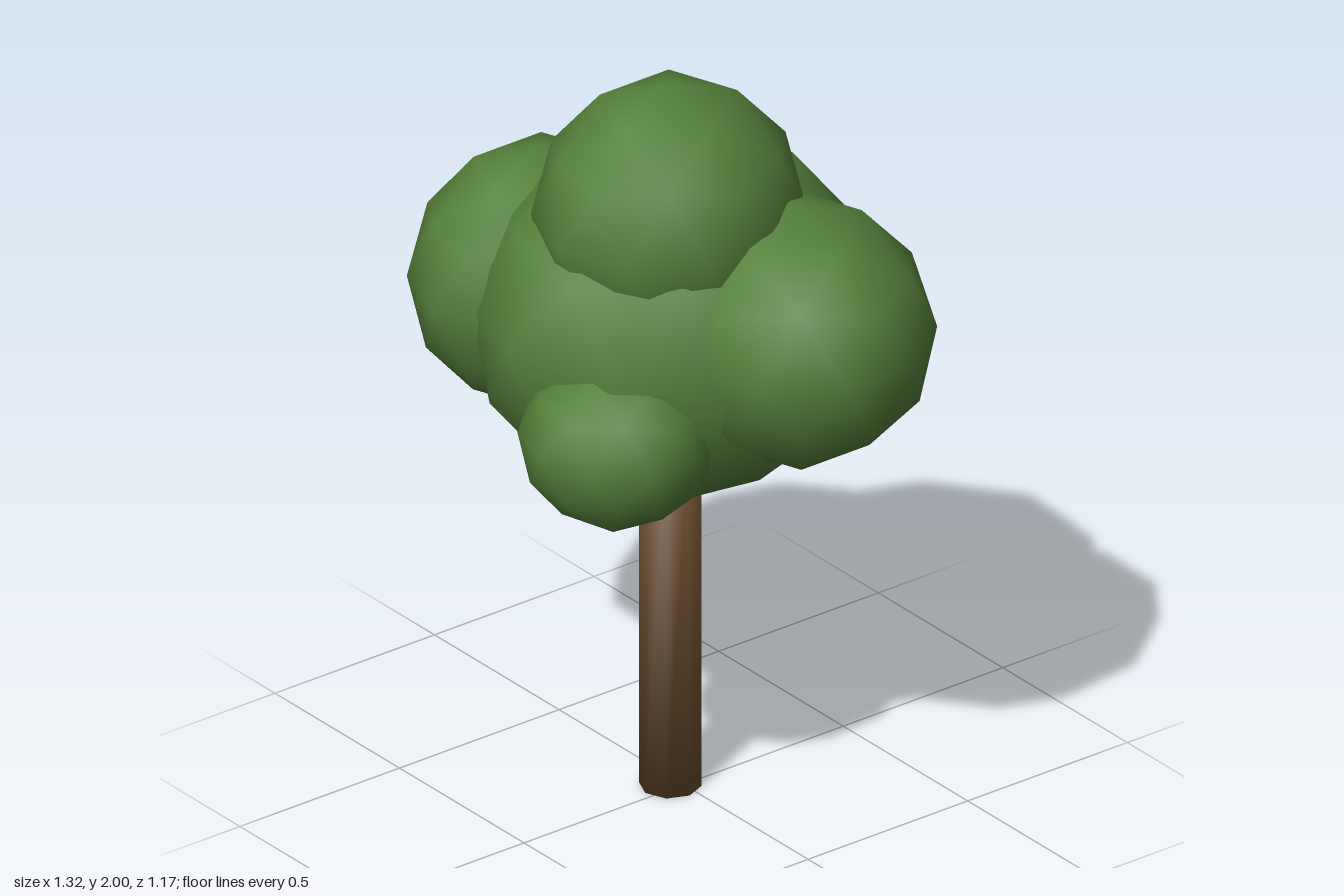
import * as THREE from 'three';
import { mergeVertices } from 'three/addons/utils/BufferGeometryUtils.js';

const leafGreen = new THREE.MeshStandardMaterial({ color: 0x54803a });
leafGreen.name = 'leafGreen';
const barkBrown = new THREE.MeshStandardMaterial({ color: 0x70502f });
barkBrown.name = 'barkBrown';

// Low-poly smooth ball with a vertex at the top and bottom
function leafGeometry() {
  const geometry = new THREE.IcosahedronGeometry(1, 1);
  geometry.rotateZ(-Math.atan(2 / (1 + Math.sqrt(5))));
  return geometry;
}

// Post whose shading rolls softly over its end rims
function trunkGeometry(radius, height, sides) {
  let geometry = new THREE.CylinderGeometry(radius, radius, height, sides, 1);
  geometry.deleteAttribute('normal');
  geometry.deleteAttribute('uv');
  geometry = mergeVertices(geometry);
  geometry.computeVertexNormals();
  const p = geometry.attributes.position;
  const n = new THREE.Vector3();
  for (let i = 0; i < p.count; i++) {
    n.set(p.getX(i) / radius, Math.sign(p.getY(i)) * 0.8, p.getZ(i) / radius).normalize();
    geometry.attributes.normal.setXYZ(i, n.x, n.y, n.z);
  }
  return geometry;
}

export function createModel() {
  const tree = new THREE.Group();
  tree.name = 'tree';

  // Trunk, its top buried in the crown
  const height = 1.0;
  const trunk = new THREE.Mesh(trunkGeometry(0.078, height, 8), barkBrown);
  trunk.name = 'trunk';
  trunk.position.set(-0.023, height / 2, 0.024);
  tree.add(trunk);

  // Crown: overlapping leaf balls (name, centre, radii, small tilt)
  const crown = new THREE.Group();
  crown.name = 'crown';
  const balls = [
    ['mainFoliage', [-0.035, 1.313, 0.005], [0.485, 0.485, 0.525], [-0.1, 0, -0.03]],
    ['topFoliage', [0.037, 1.65, 0.077], [0.322, 0.35, 0.35], [0, 0, 0]],
    ['leftFoliage', [0.302, 1.365, -0.11], [0.37, 0.347, 0.345], [0, 0, 0.03]],
    ['rightFoliage', [-0.375, 1.333, 0.158], [0.305, 0.35, 0.342], [0, 0, 0]],
    ['frontFoliage', [0.165, 1.147, 0.335], [0.247, 0.23, 0.25], [-0.1, 0, 0]],
    ['backFoliage', [-0.145, 1.217, -0.283], [0.312, 0.305, 0.305], [0, 0, 0]],
  ];
  const leaf = leafGeometry();
  for (const [name, centre, radii, tilt] of balls) {
    const ball = new THREE.Mesh(leaf, leafGreen);
    ball.name = name;
    ball.position.set(...centre);
    ball.scale.set(...radii);
    ball.rotation.set(...tilt);
    crown.add(ball);
  }
  tree.add(crown);
  return tree;
}
